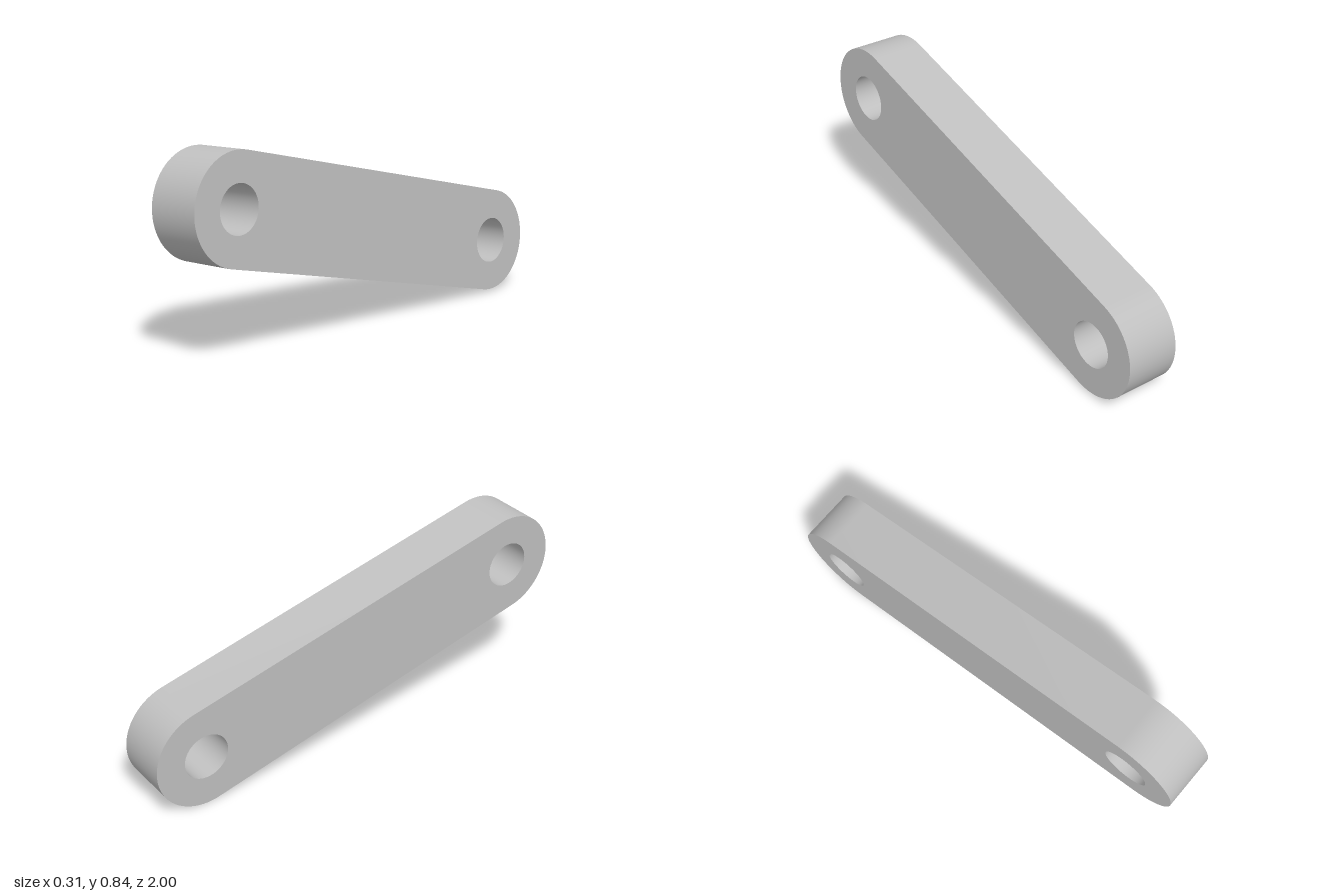
import * as THREE from 'three';
import { toCreasedNormals } from 'three/addons/utils/BufferGeometryUtils.js';

const LENGTH = 1.587;    // distance between hole centres
const RADIUS = 0.226;    // rounded ends
const HOLE = 0.1;        // hole radius
const THICKNESS = 0.2355;

export function createModel() {
  const group = new THREE.Group();
  group.name = 'linkPlate';
  const grey = new THREE.MeshStandardMaterial({ color: 0xc0c0c0 });
  grey.name = 'grey';

  // Stadium outline with a pin hole at each end
  const half = LENGTH / 2;
  const outline = new THREE.Shape();
  outline.absarc(half, 0, RADIUS, -Math.PI / 2, Math.PI / 2, false);
  outline.absarc(-half, 0, RADIUS, Math.PI / 2, Math.PI * 1.5, false);
  outline.closePath();
  for (const x of [-half, half]) {
    const hole = new THREE.Path();
    hole.absarc(x, 0, HOLE, 0, Math.PI * 2, true);
    outline.holes.push(hole);
  }

  let geometry = new THREE.ExtrudeGeometry(outline, {
    depth: THICKNESS, bevelEnabled: false, curveSegments: 24,
  });
  geometry.translate(0, 0, -THICKNESS / 2);
  geometry = toCreasedNormals(geometry, Math.PI / 6);

  // Tilt: local z is the pin axis, local x runs from the low back end to the high front end
  const pinAxis = new THREE.Vector3(0.998, 0.042, -0.0396).normalize();
  const along = new THREE.Vector3(0.045, 0.383, 1.54);
  along.addScaledVector(pinAxis, -along.dot(pinAxis)).normalize();
  const across = new THREE.Vector3().crossVectors(pinAxis, along);
  geometry.applyMatrix4(new THREE.Matrix4().makeBasis(along, across, pinAxis));

  // Rest the link on the ground
  geometry.computeBoundingBox();
  geometry.translate(0, -geometry.boundingBox.min.y, 0);

  const link = new THREE.Mesh(geometry, grey);
  link.name = 'linkBar';
  group.add(link);
  return group;
}
